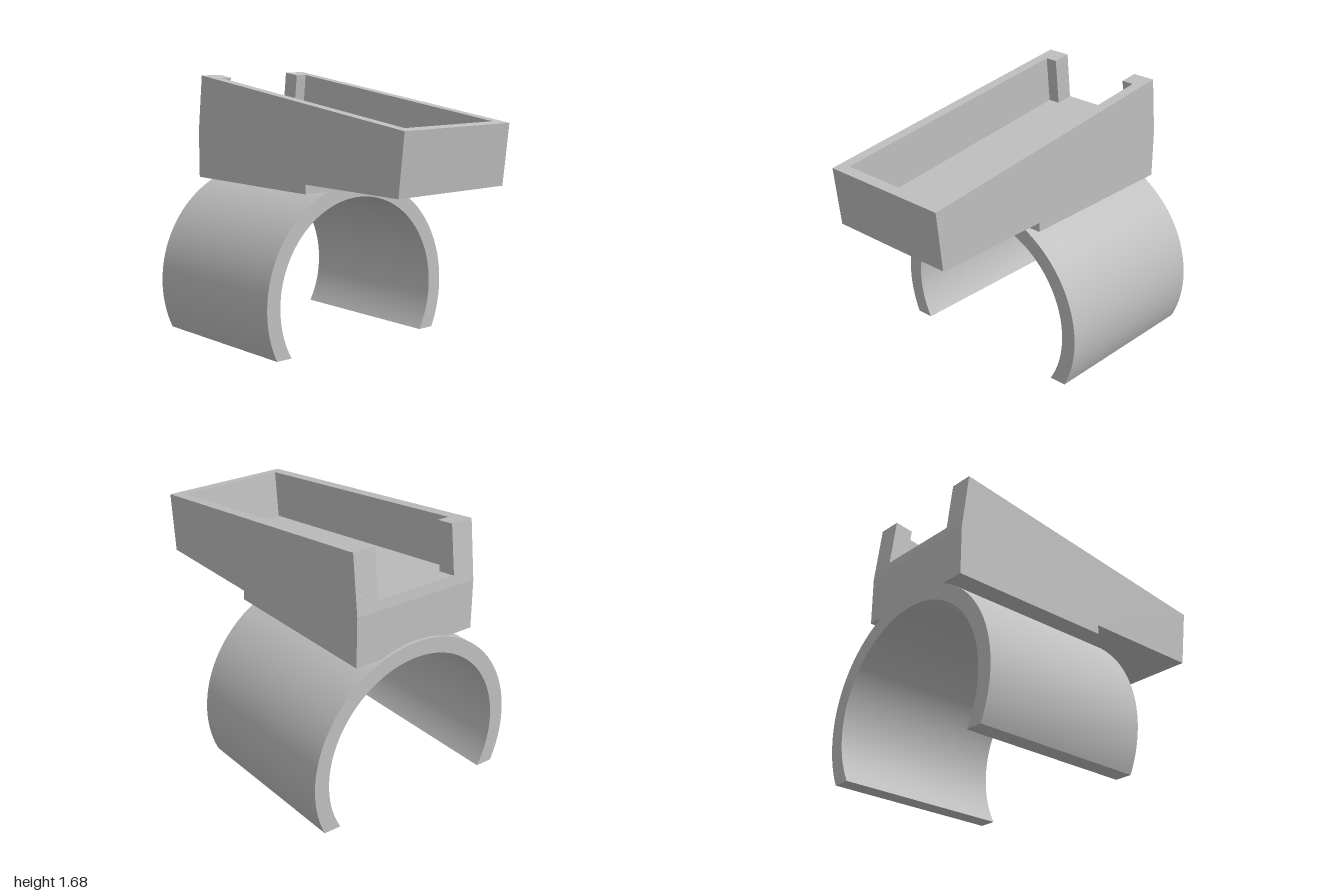
import * as THREE from 'three';
import { toCreasedNormals } from 'three/addons/utils/BufferGeometryUtils.js';

const grey = new THREE.MeshStandardMaterial({ color: 0xbfbfbf });
grey.name = 'grey plastic';

export function createModel() {
  const group = new THREE.Group();
  group.name = 'clipOnTray';

  const add = (name, geometry) => {
    const mesh = new THREE.Mesh(geometry, grey);
    mesh.name = name;
    group.add(mesh);
  };

  // Side profile given as [z, y] points, extruded across x from x0 to x1
  const across = (name, points, x0, x1) => {
    const shape = new THREE.Shape(points.map(([z, y]) => new THREE.Vector2(z, y)));
    const geometry = new THREE.ExtrudeGeometry(shape, { depth: x1 - x0, bevelEnabled: false });
    geometry.rotateY(-Math.PI / 2).translate(x1, 0, 0);
    add(name, geometry);
  };

  const outerX = 0.43, innerX = 0.36, postX = 0.28;
  const underside = [[-0.98, 1.31], [-0.98, 1], [0.145, 1], [0.145, 1.06], [0.955, 1.06]];

  // Sloped floor, stepped underside and front wall
  across('floorAndFrontWall',
    [[1, 1.44], [0.93, 1.449], [0.893, 1.14], [-0.973, 1.372], ...underside], -innerX, innerX);

  // Side walls and the return posts beside the rear opening
  const wall = [[1, 1.44], [-0.935, 1.68], ...underside];
  const post = [[-0.815, 1.665], [-0.935, 1.68], [-0.973, 1.372], [-0.853, 1.357]];
  across('leftWall', wall, innerX, outerX);
  across('rightWall', wall, -outerX, -innerX);
  across('leftRearPost', post, postX, innerX);
  across('rightRearPost', post, -innerX, -postX);

  // Open ring clip, cut flat at the ground
  const centreY = 0.315, outerR = 0.73, innerR = 0.63;
  const outerA = -Math.asin(centreY / outerR);
  const innerA = -Math.asin(centreY / innerR);
  const ring = new THREE.Shape();
  ring.absarc(0, centreY, outerR, outerA, Math.PI - outerA, false);
  ring.absarc(0, centreY, innerR, Math.PI - innerA, innerA, true);
  const clip = new THREE.ExtrudeGeometry(ring, { depth: 1.145, bevelEnabled: false, curveSegments: 64 });
  clip.translate(0, 0, -1);
  add('ringClip', toCreasedNormals(clip, 0.5));

  return group;
}
